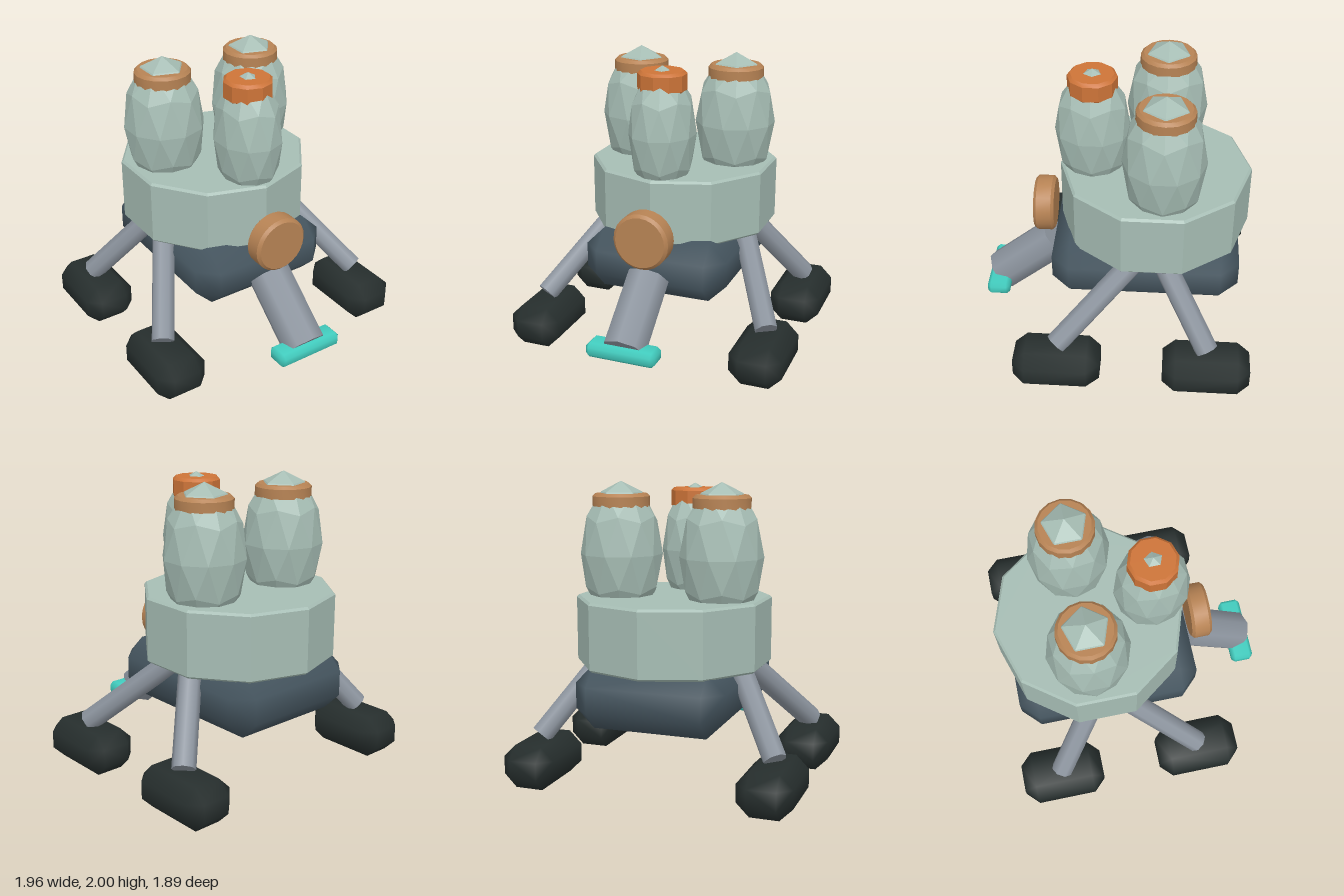
import * as THREE from 'three';
import { mergeVertices, toCreasedNormals } from 'three/addons/utils/BufferGeometryUtils.js';
import { ConvexGeometry } from 'three/addons/geometries/ConvexGeometry.js';

const material = (name, color) => {
  const m = new THREE.MeshStandardMaterial({ color });
  m.name = name;
  return m;
};

// Box with a single chamfer on every edge, softly shaded
function chamferBox(w, h, d, c) {
  const pts = [];
  for (const sx of [-1, 1]) for (const sy of [-1, 1]) for (const sz of [-1, 1]) {
    for (const [a, b, e] of [[0, c, c], [c, 0, c], [c, c, 0]]) {
      pts.push(new THREE.Vector3(sx * (w / 2 - a), sy * (h / 2 - b), sz * (d / 2 - e)));
    }
  }
  const geo = new ConvexGeometry(pts);
  geo.deleteAttribute('normal');
  const smooth = mergeVertices(geo, 1e-4);
  smooth.computeVertexNormals();
  return smooth;
}

// Short bevelled cylinder
function puck(r, h, sides, b) {
  const profile = [[0, -h / 2], [r - b, -h / 2], [r, -h / 2 + b], [r, h / 2 - b], [r - b, h / 2], [0, h / 2]]
    .map(([x, y]) => new THREE.Vector2(x, y));
  return toCreasedNormals(new THREE.LatheGeometry(profile, sides), 0.6);
}

// Faceted ellipsoid with a vertex at its top
function facetedPod(rx, ry, rz) {
  const geo = new THREE.IcosahedronGeometry(1, 1);
  geo.rotateZ(-Math.atan(2 / (1 + Math.sqrt(5))));
  geo.scale(rx, ry, rz);
  geo.computeVertexNormals();
  return geo;
}

export function createModel() {
  const model = new THREE.Group();
  model.name = 'walkerRover';

  const sage = material('sage', 0xa6bdb4);
  const slate = material('slate', 0x45555f);
  const steel = material('steel', 0x8c949e);
  const black = material('charcoal', 0x262e2d);
  const copper = material('copper', 0xb78354);
  const orange = material('orange', 0xcd7438);
  const teal = material('teal', 0x42cdbf);

  const add = (name, geo, mat, x = 0, y = 0, z = 0) => {
    const mesh = new THREE.Mesh(geo, mat);
    mesh.name = name;
    mesh.position.set(x, y, z);
    model.add(mesh);
    return mesh;
  };

  // Eight-sided strut between two points
  const strut = (name, from, to, r) => {
    const a = new THREE.Vector3(...from), b = new THREE.Vector3(...to);
    const dir = b.clone().sub(a);
    const mesh = add(name, new THREE.CylinderGeometry(r, r, dir.length(), 8), steel);
    mesh.position.copy(a).add(b).multiplyScalar(0.5);
    mesh.quaternion.setFromUnitVectors(new THREE.Vector3(0, 1, 0), dir.normalize());
  };

  // Ten-sided deck with bevelled rims
  const outline = [];
  for (let i = 0; i < 10; i++) {
    const a = Math.PI / 2 + i * Math.PI / 5;
    outline.push(new THREE.Vector2(0.635 * Math.cos(a), 0.635 * Math.sin(a)));
  }
  const deck = new THREE.ExtrudeGeometry(new THREE.Shape(outline), {
    depth: 0.42, bevelSize: 0.015, bevelThickness: 0.015, bevelSegments: 1,
  });
  deck.rotateX(-Math.PI / 2);
  add('deck', deck, sage, 0, 0.815, -0.26);

  // Lower hull
  add('hull', chamferBox(1.02, 0.42, 1.28, 0.125), slate, 0, 0.63, -0.21);

  // Legs and feet
  const foot = chamferBox(0.36, 0.29, 0.59, 0.085);
  for (const [side, s] of [['left', 1], ['right', -1]]) {
    add(side + 'FrontFoot', foot, black, s * 0.8, 0.145, 0.365);
    add(side + 'BackFoot', foot, black, s * 0.8, 0.145, -0.65);
    strut(side + 'FrontLeg', [s * 0.81, 0.31, 0.365], [s * 0.44, 0.87, -0.22], 0.078);
    strut(side + 'BackLeg', [s * 0.81, 0.31, -0.65], [s * 0.44, 0.87, -0.29], 0.078);
  }

  // Front nozzle, bar and disc
  strut('frontTube', [0, 0.24, 0.85], [0, 0.58, 0.44], 0.15);
  add('frontBar', chamferBox(0.48, 0.1, 0.16, 0.025), teal, 0, 0.24, 0.857);
  add('frontDisc', puck(0.193, 0.142, 24, 0.02), copper, 0, 0.885, 0.506).rotation.x = Math.PI / 2;

  // Pods with collars
  const backPod = facetedPod(0.275, 0.48, 0.275);
  const backCollar = puck(0.19, 0.12, 16, 0.02);
  for (const [side, s] of [['left', 1], ['right', -1]]) {
    add(side + 'Pod', backPod, sage, s * 0.35, 1.52, -0.32);
    add(side + 'PodCollar', backCollar, copper, s * 0.35, 1.86, -0.32);
  }
  add('frontPod', facetedPod(0.225, 0.455, 0.255), sage, 0, 1.52, 0.165);
  add('frontPodCollar', puck(0.165, 0.145, 10, 0.02), orange, 0, 1.872, 0.165);

  return model;
}
